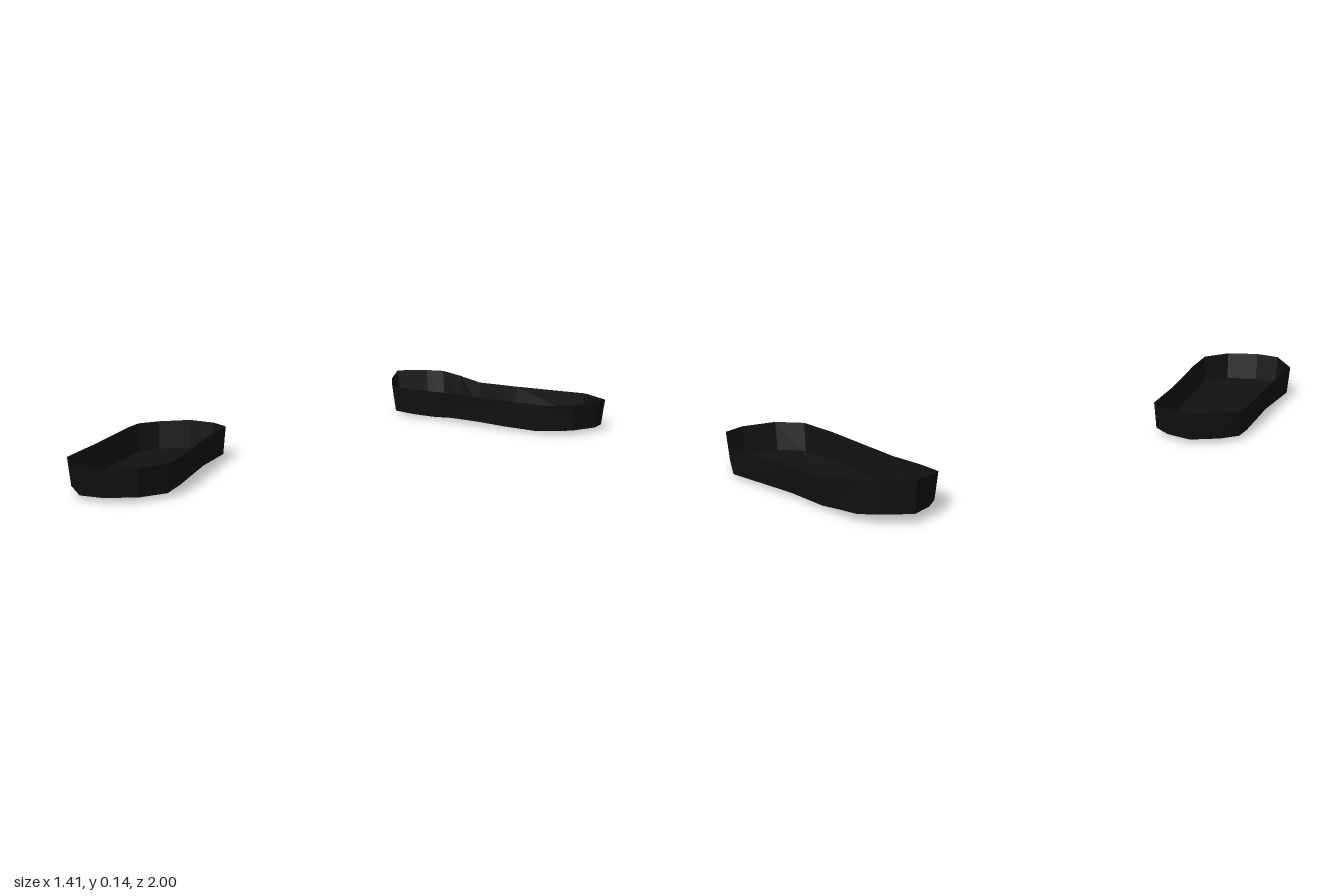
import * as THREE from 'three';

const material = new THREE.MeshStandardMaterial({ color: 0x111111, flatShading: true, side: THREE.DoubleSide });

// Outlines run clockwise seen from above: [x, z, rim height (0.1 if left out)]
const straightOutline = [
  [-0.56, 0.125], [-0.47, 0.16], [-0.41, 0.22], [-0.405, 0.43], [-0.38, 0.75], [-0.377, 0.89], [-0.44, 0.97],
  [-0.54, 1.0], [-0.62, 0.98], [-0.70, 0.85], [-0.698, 0.6], [-0.705, 0.31], [-0.70, 0.23], [-0.65, 0.175],
];
const raisedOutline = [
  [0.06, -1.0, 0.13], [0.13, -0.97, 0.118], [0.21, -0.935], [0.36, -0.86], [0.62, -0.75], [0.705, -0.62],
  [0.69, -0.545], [0.62, -0.46], [0.53, -0.435], [0.40, -0.495], [0.11, -0.66], [0.0, -0.705],
  [-0.08, -0.755, 0.103], [-0.10, -0.84, 0.118], [-0.10, -0.94, 0.135], [0.0, -0.987, 0.133],
];

// Open tray: a tapered wall from the rim down to a slightly rounded floor
function createSole(name, outline) {
  const n = outline.length;
  const cx = outline.reduce((s, p) => s + p[0], 0) / n;
  const cz = outline.reduce((s, p) => s + p[1], 0) / n;
  const positions = [];
  const index = [];

  // Rings: rim, foot of the wall, inner floor; each moves inwards by an inset
  for (const [inset, level] of [[0, 1], [0.014, 0.012], [0.08, 0.002]]) {
    for (const [x, z, top = 0.1] of outline) {
      const dx = x - cx, dz = z - cz;
      const k = 1 - inset / Math.hypot(dx, dz);
      const y = level === 1 ? top : level + (top - 0.1) * 0.45;
      positions.push(cx + dx * k, y, cz + dz * k);
    }
  }
  positions.push(cx, 0, cz);

  for (let i = 0; i < n; i++) {
    const j = (i + 1) % n;
    for (let r = 0; r < 2; r++) {
      const a = r * n + i, b = r * n + j;
      index.push(a, b, b + n, a, b + n, a + n);
    }
    index.push(2 * n + i, 2 * n + j, 3 * n);
  }

  const geometry = new THREE.BufferGeometry();
  geometry.setAttribute('position', new THREE.Float32BufferAttribute(positions, 3));
  geometry.setIndex(index);
  geometry.computeVertexNormals();
  const mesh = new THREE.Mesh(geometry, material);
  mesh.name = name;
  return mesh;
}

export function createModel() {
  const model = new THREE.Group();
  model.name = 'shoeSoles';
  model.add(createSole('rightSole', straightOutline), createSole('leftSole', raisedOutline));
  return model;
}
